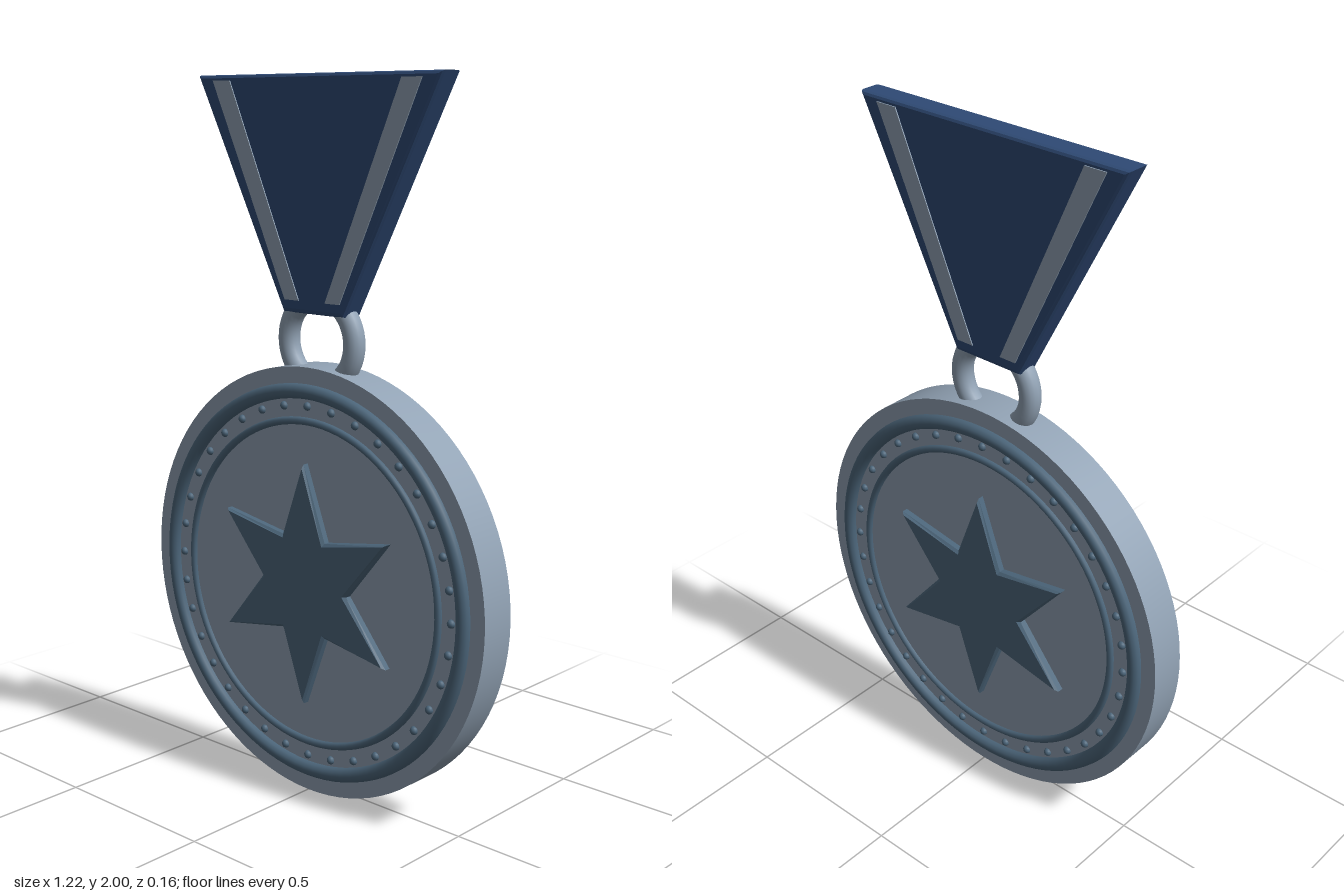
import * as THREE from 'three';

const CY = 0.612; // medal centre height

export function createModel() {
  const mat = (name, color) => {
    const m = new THREE.MeshStandardMaterial({ color });
    m.name = name;
    return m;
  };
  const silver = mat('silver', 0x92a3b5);
  const steel = mat('dark steel', 0x4d677c);
  const navy = mat('navy ribbon', 0x2f4a75);

  const model = new THREE.Group();
  model.name = 'medal';
  const add = (name, geometry, material, x = 0, y = 0, z = 0) => {
    const mesh = new THREE.Mesh(geometry, material);
    mesh.name = name;
    mesh.position.set(x, y, z);
    model.add(mesh);
    return mesh;
  };

  // Slab centred on z = 0 with bevels kept inside the outline
  const slab = (points, depth, bevel, segments = 1) => {
    const shape = new THREE.Shape(points.map(([x, y]) => new THREE.Vector2(x, y)));
    const g = new THREE.ExtrudeGeometry(shape, {
      depth: depth - 2 * bevel, bevelEnabled: bevel > 0, bevelSize: bevel,
      bevelThickness: bevel, bevelOffset: -bevel, bevelSegments: segments,
    });
    return g.translate(0, 0, bevel - depth / 2);
  };

  // Disc
  add('disc', new THREE.CylinderGeometry(0.612, 0.612, 0.11, 96).rotateX(Math.PI / 2), silver, 0, CY);

  // Six-pointed star, raised on both faces
  const star = [];
  for (let i = 0; i < 12; i++) {
    const r = i % 2 ? 0.157 : 0.346;
    const a = Math.PI / 2 + (i * Math.PI) / 6;
    star.push([r * Math.cos(a), r * Math.sin(a)]);
  }
  add('star', slab(star, 0.16, 0.008), steel, 0, CY);

  // Raised rings and beads on both faces
  const outerRing = new THREE.TorusGeometry(0.545, 0.021, 12, 96);
  const innerRing = new THREE.TorusGeometry(0.463, 0.011, 10, 96);
  const bead = new THREE.SphereGeometry(0.012, 10, 8);
  for (const side of [1, -1]) {
    const z = side * 0.055;
    add('outerRing', outerRing, steel, 0, CY, z);
    add('innerRing', innerRing, steel, 0, CY, z);
    for (let i = 0; i < 36; i++) {
      const a = (i * Math.PI) / 18;
      add('bead', bead, steel, 0.505 * Math.sin(a), CY + 0.505 * Math.cos(a), z);
    }
  }

  // Hanging loop
  add('loop', new THREE.TorusGeometry(0.12, 0.03, 16, 48), silver, 0, 1.29);

  // Ribbon
  add('ribbon', slab([[-0.11, 1.365], [0.11, 1.365], [0.435, 2], [-0.435, 2]], 0.074, 0.012, 2), navy);

  // Ribbon stripes: thin plates on both faces
  for (const side of [1, -1]) {
    for (const s of [1, -1]) {
      const outline = [[0.048, 1.4], [0.1, 1.4], [0.372, 1.985], [0.306, 1.985]];
      add('stripe', slab(outline.map(([x, y]) => [s * x, y]), 0.006, 0), silver, 0, 0, side * 0.037);
    }
  }

  return model;
}
